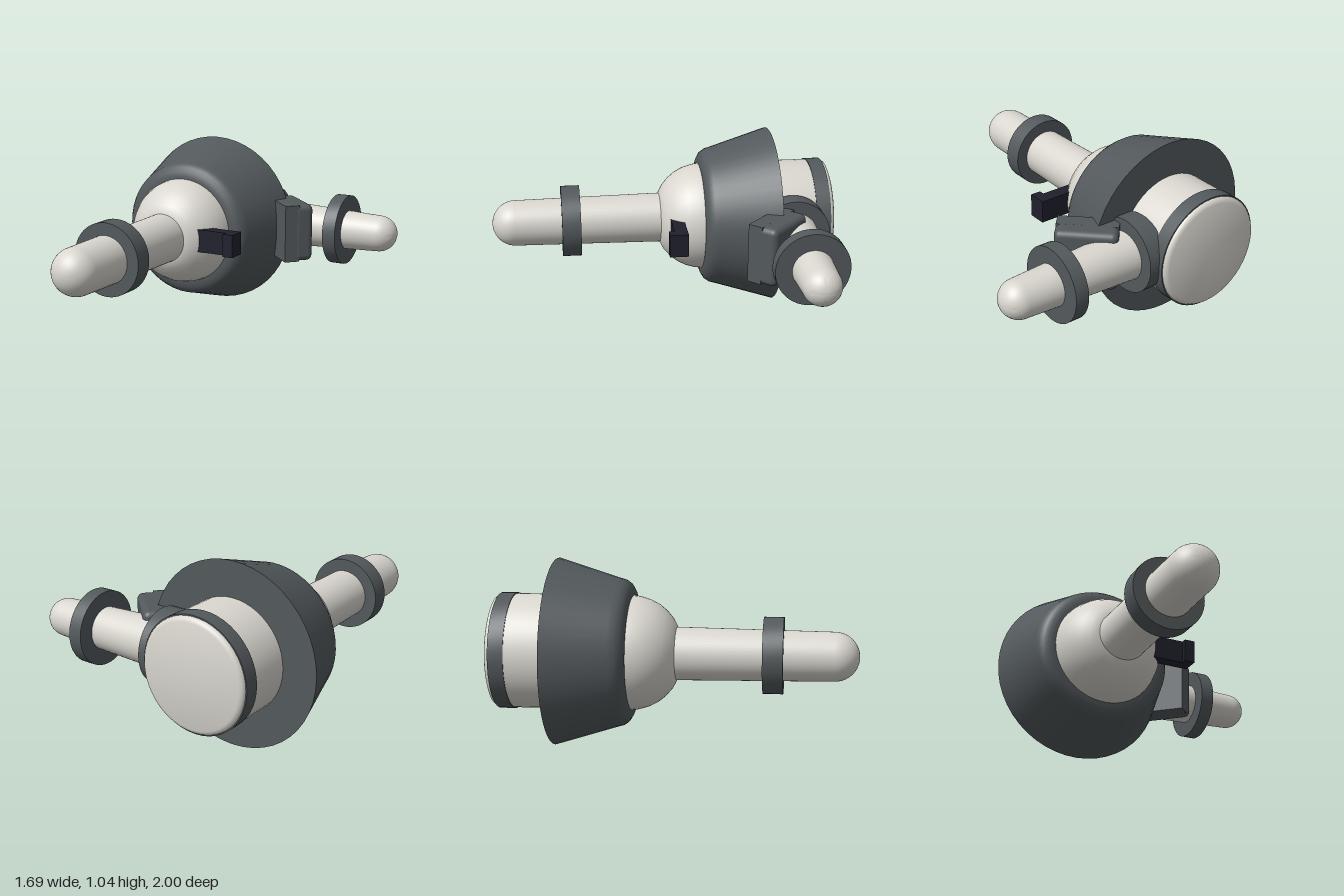
import * as THREE from 'three';
import { toCreasedNormals } from 'three/addons/utils/BufferGeometryUtils.js';
import { RoundedBoxGeometry } from 'three/addons/geometries/RoundedBoxGeometry.js';

const CY = 0.518; // height of both axes
const CX = -0.33; // main axis
const CZ = -0.745; // side axis

const mat = (name, color) => Object.assign(new THREE.MeshStandardMaterial({ color }), { name });

// Turned solid from [radius, distance along axis] points
function turned(name, points, material, segments = 48) {
  const geo = new THREE.LatheGeometry(points.map(([r, h]) => new THREE.Vector2(r, h)), segments);
  const mesh = new THREE.Mesh(toCreasedNormals(geo, 0.6), material);
  mesh.name = name;
  return mesh;
}

const disc = (r, a, b) => [[0, a], [r, a], [r, b], [0, b]];

// Tapered rod with a hemispherical tip
function rodProfile(start, r0, tip, r1) {
  const pts = [[0, start], [r0, start]];
  for (let i = 0; i <= 10; i++) {
    const a = (i / 10) * Math.PI / 2;
    pts.push([i === 10 ? 0 : r1 * Math.cos(a), tip - r1 + r1 * Math.sin(a)]);
  }
  return pts;
}

export function createModel() {
  const light = mat('warm off-white', 0xd9d6cf);
  const grey = mat('slate grey', 0x53595c);
  const navy = mat('dark navy', 0x20202d);
  const model = new THREE.Group();
  model.name = 'model';

  // Parts turned around the front-to-back axis
  const main = new THREE.Group();
  main.name = 'mainAxis';
  main.position.set(CX, CY, 0);
  main.rotation.x = Math.PI / 2;
  main.add(
    turned('body', [
      [0, -1], [0.29, -1], [0.306, -0.994], [0.315, -0.982], [0.318, -0.965],
      [0.318, -0.25], [0.312, -0.2], [0.296, -0.145], [0.27, -0.095],
      [0.235, -0.052], [0.195, -0.018], [0.15, 0.006], [0, 0.006],
    ], light),
    turned('rearBand', disc(0.323, -0.975, -0.89), grey),
    turned('skirt', [
      [0, -0.655], [0.518, -0.655], [0.412, -0.315], [0.403, -0.283],
      [0.385, -0.257], [0.36, -0.242], [0.33, -0.236], [0, -0.236],
    ], grey),
    turned('frontRod', rodProfile(-0.1, 0.148, 1, 0.135), light),
    turned('frontRing', disc(0.21, 0.48, 0.59), grey),
  );
  model.add(main);

  // Parts turned around the side axis
  const side = new THREE.Group();
  side.name = 'sideAxis';
  side.position.set(0, CY, CZ);
  side.rotation.z = -Math.PI / 2;
  side.add(
    turned('sideCollar', disc(0.21, -0.06, 0.05), grey),
    turned('sideRod', rodProfile(-0.1, 0.144, 0.845, 0.108), light),
    turned('sideRing', disc(0.21, 0.455, 0.535), grey),
  );
  model.add(side);

  // Angled block: plate in front, rounded housing behind
  const block = new THREE.Group();
  block.name = 'angledBlock';
  block.position.set(0.202, CY, -0.615);
  block.rotation.y = -0.76;
  const housing = new THREE.Mesh(new RoundedBoxGeometry(0.34, 0.345, 0.125, 4, 0.035), grey);
  housing.name = 'housing';
  housing.position.z = -0.028;
  const plate = new THREE.Mesh(new THREE.BoxGeometry(0.335, 0.345, 0.09), grey);
  plate.name = 'plate';
  plate.position.z = 0.045;
  block.add(housing, plate);
  model.add(block);

  // Hooked bracket beside the dome
  const hook = new THREE.Shape();
  [[-0.12, 0.042], [0.068, 0.042], [0.068, 0.01], [0.13, 0.01], [0.13, 0.118], [-0.12, 0.118]]
    .forEach(([x, z], i) => (i ? hook.lineTo(x, z) : hook.moveTo(x, z)));
  const bracket = new THREE.Mesh(
    new THREE.ExtrudeGeometry(hook, { depth: 0.134, bevelEnabled: false }), navy);
  bracket.name = 'hookBracket';
  bracket.rotation.x = -Math.PI / 2;
  bracket.position.y = 0.452;
  model.add(bracket);

  return model;
}
